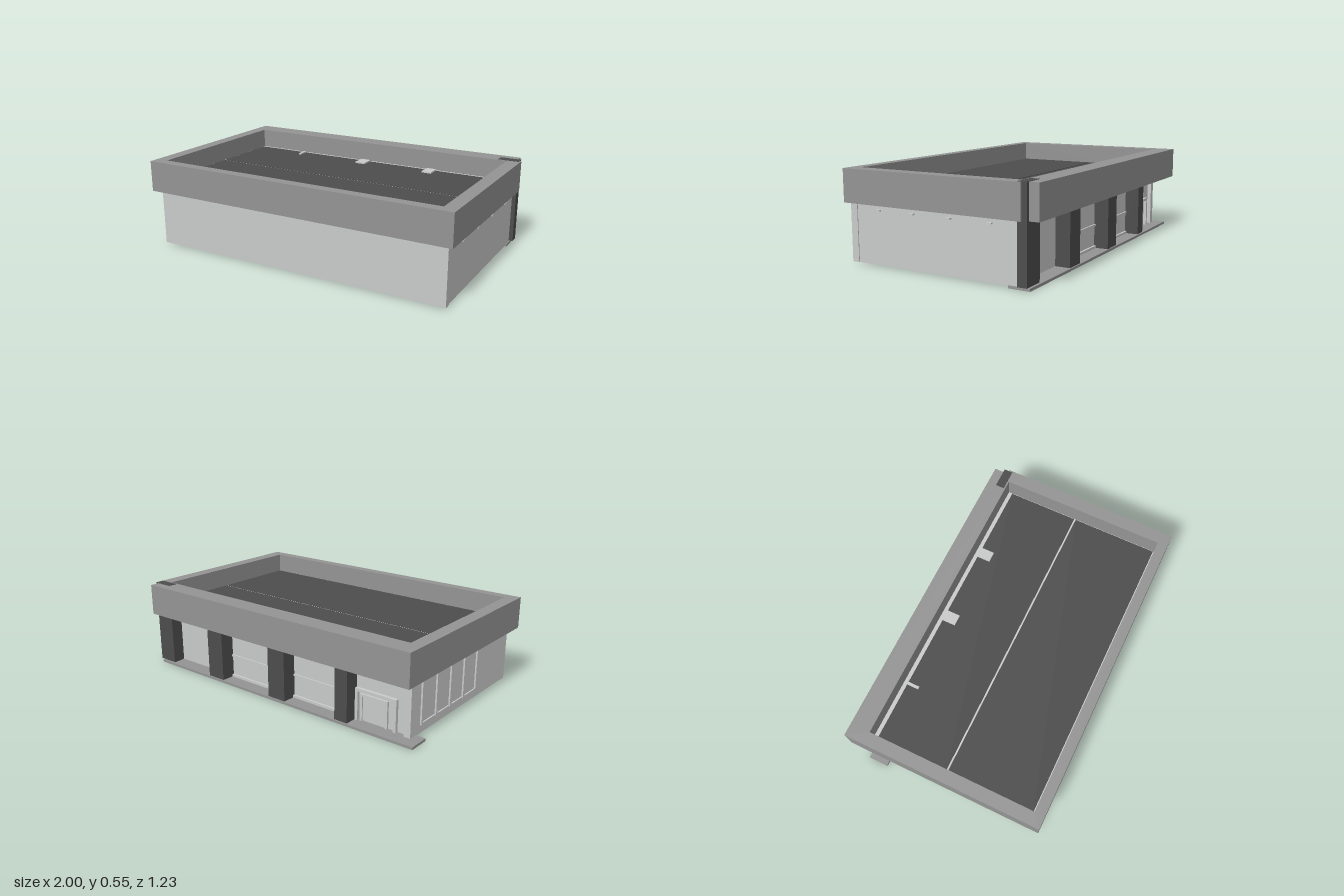
import * as THREE from 'three';

export function createModel() {
  const group = new THREE.Group();
  const material = (name, color) => {
    const m = new THREE.MeshStandardMaterial({ color });
    m.name = name;
    return m;
  };
  const light = material('light wall', 0xc9cbca);
  const grey = material('parapet grey', 0x949494);
  const dark = material('dark cladding', 0x4d4d4d);

  // Box given by its minimum and maximum on each axis
  const box = (name, mat, x0, x1, y0, y1, z0, z1) => {
    const mesh = new THREE.Mesh(new THREE.BoxGeometry(x1 - x0, y1 - y0, z1 - z0), mat);
    mesh.position.set((x0 + x1) / 2, (y0 + y1) / 2, (z0 + z1) / 2);
    mesh.name = name;
    group.add(mesh);
  };

  // Main body: front wall, core and end walls reaching past the back wall
  box('frontWall', light, -0.94, 0.97, 0.01, 0.35, 0.545, 0.59);
  box('buildingCore', light, -0.935, 0.965, 0.01, 0.35, -0.465, 0.545);
  box('leftEndWall', light, 0.94, 0.965, 0.015, 0.35, -0.5, -0.465);
  box('rightEndWall', light, -0.94, -0.9, 0.012, 0.35, -0.49, 0.545);

  // Overhanging parapet with an open middle and a notch for the corner column
  const outline = [[-1, 0.613], [0.97, 0.613], [0.97, 0.525], [1, 0.525], [1, -0.613], [-1, -0.613]];
  const opening = [[-0.922, 0.49], [-0.922, -0.55], [0.918, -0.55], [0.918, 0.49]];
  const points = (list) => list.map(([x, y]) => new THREE.Vector2(x, y));
  const ring = new THREE.Shape(points(outline));
  ring.holes.push(new THREE.Path(points(opening)));
  const parapetGeometry = new THREE.ExtrudeGeometry(ring, { depth: 0.193, bevelEnabled: false });
  parapetGeometry.rotateX(-Math.PI / 2);
  const parapet = new THREE.Mesh(parapetGeometry, grey);
  parapet.position.y = 0.35;
  parapet.name = 'parapet';
  group.add(parapet);

  // Sunken roof: light deck with two dark panels, so a rim and a seam stay visible
  box('roofDeck', light, -0.922, 0.918, 0.351, 0.42, -0.49, 0.55);
  box('roofPanelBack', dark, -0.914, 0.914, 0.415, 0.423, -0.465, -0.014);
  box('roofPanelFront', dark, -0.914, 0.914, 0.415, 0.423, -0.003, 0.541);
  for (const [x0, x1, z1] of [[-0.555, -0.538, -0.39], [-0.092, -0.022, -0.38], [0.395, 0.462, -0.38]]) {
    box('roofBracket', light, x0, x1, 0.415, 0.432, -0.47, z1);
  }

  // Walkway and dark columns along the back
  box('backWalkway', grey, -1, 0.97, 0, 0.015, -0.562, -0.435);
  box('cornerColumn', dark, 0.86, 0.99, 0.02, 0.545, -0.555, -0.5);
  for (const [x0, x1] of [[0.395, 0.52], [-0.118, 0.008], [-0.574, -0.488]]) {
    box('backColumn', dark, x0, x1, 0.015, 0.351, -0.555, -0.465);
  }
  box('cornerColumnBacking', dark, 0.875, 0.94, 0.015, 0.35, -0.5, -0.465);

  // Shop front rails in the middle bays
  for (const [x0, x1] of [[0.008, 0.395], [-0.488, -0.118]]) {
    box('windowTopRail', light, x0, x1, 0.305, 0.325, -0.478, -0.465);
    box('windowMiddleRail', light, x0, x1, 0.15, 0.162, -0.474, -0.465);
    box('windowSill', light, x0, x1, 0.015, 0.03, -0.478, -0.465);
  }

  // Back door with two nested frames
  const frame = (x0, x1, top, w, z) => {
    box('doorFrameSide', light, x0, x0 + w, 0.015, top, z, -0.465);
    box('doorFrameSide', light, x1 - w, x1, 0.015, top, z, -0.465);
    box('doorFrameTop', light, x0 + w, x1 - w, top - w, top, z, -0.465);
  };
  frame(-0.845, -0.575, 0.205, 0.018, -0.485);
  frame(-0.785, -0.605, 0.175, 0.014, -0.478);
  box('doorLeaf', light, -0.771, -0.619, 0.016, 0.161, -0.47, -0.465);

  // Tall window frames on the right-hand end
  for (let i = 0; i < 5; i++) {
    const z = -0.39 + i * 0.148;
    box('endWindowPost', light, -0.95, -0.94, 0.06, 0.34, z - 0.008, z + 0.008);
  }
  box('endWindowSill', light, -0.948, -0.94, 0.06, 0.07, -0.39, 0.202);

  // Small vents on the left-hand end
  for (const z of [0.39, 0.16, -0.08, -0.33]) {
    box('ventHood', light, 0.96, 0.98, 0.316, 0.324, z - 0.014, z + 0.014);
  }

  // Dark strips on the underside of the floor
  const strip = (x, z, w, d) =>
    box('floorStrip', dark, x - w / 2, x + w / 2, 0.007, 0.012, z - d / 2, z + d / 2);
  for (const x of [0.43, -0.23]) {
    for (const z of [-0.22, 0.035, 0.285]) strip(x, z, 0.56, 0.055);
  }
  strip(-0.06, 0.52, 1.25, 0.04);
  strip(0.9, 0.09, 0.04, 0.94);
  strip(0.6, -0.405, 0.46, 0.03);

  return group;
}
